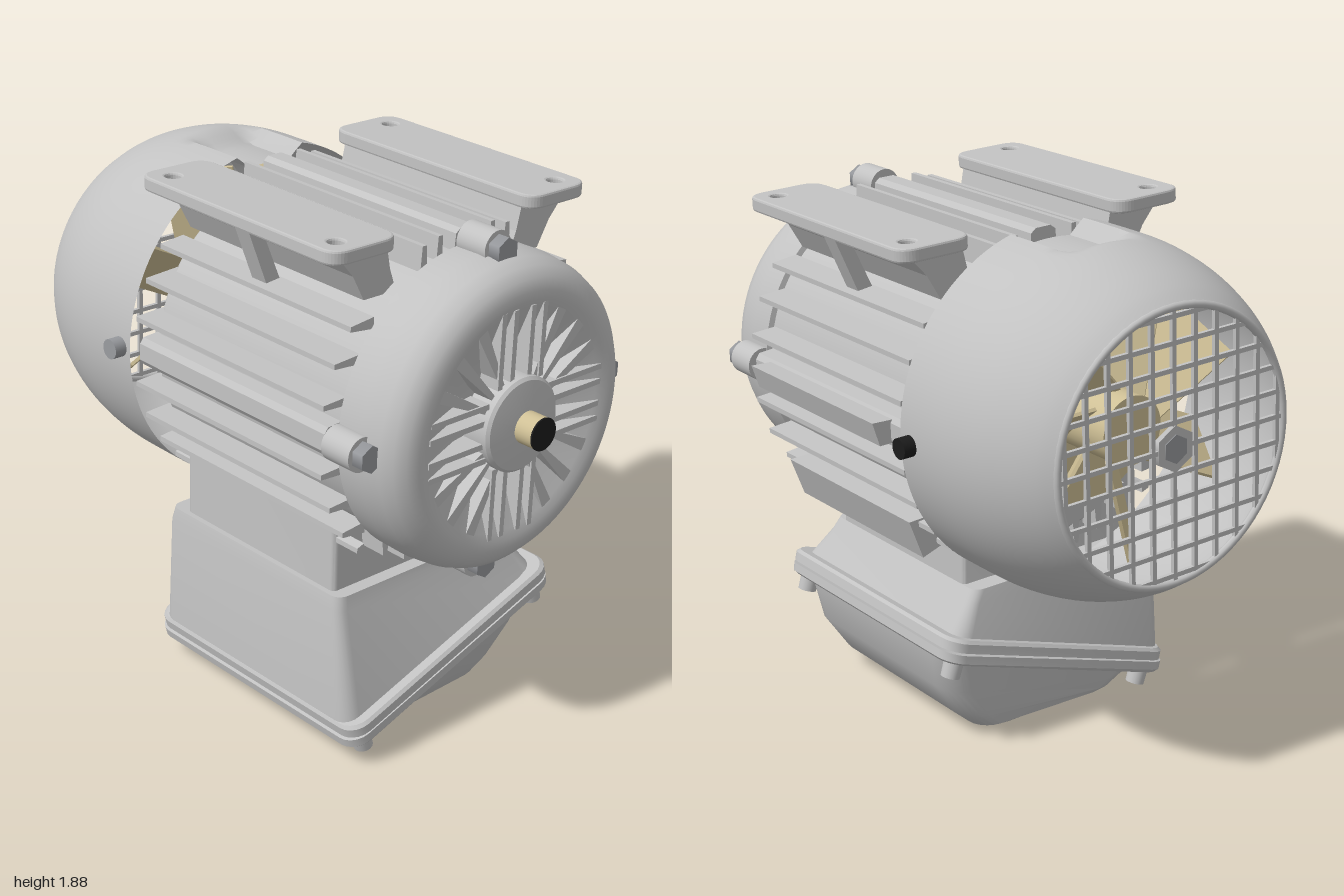
import * as THREE from 'three';
import { toCreasedNormals } from 'three/addons/utils/BufferGeometryUtils.js';

const mat = (name, color, side = THREE.FrontSide) => {
  const m = new THREE.MeshStandardMaterial({ color, side });
  m.name = name;
  return m;
};

export function createModel() {
  const paint = mat('greyPaint', 0xc2c2c2, THREE.DoubleSide);
  const steel = mat('boltSteel', 0x989a9e);
  const cream = mat('creamMetal', 0xcfc096, THREE.DoubleSide);
  const black = mat('black', 0x1c1c1c);

  const model = new THREE.Group();
  model.name = 'electricMotor';
  const motor = new THREE.Group(); // everything centred on the shaft axis
  motor.name = 'motor';
  motor.position.set(-0.005, 1.228, 0);
  motor.rotation.z = -0.045;
  model.add(motor);

  const add = (parent, name, geo, material = paint, pos = [0, 0, 0], rot = [0, 0, 0]) => {
    const m = new THREE.Mesh(geo, material);
    m.name = name;
    m.position.set(...pos);
    m.rotation.set(...rot);
    parent.add(m);
    return m;
  };
  const box = (x, y, z) => new THREE.BoxGeometry(x, y, z);
  // cylinder along z
  const rod = (r, len, seg = 32, r2 = r) => new THREE.CylinderGeometry(r, r2, len, seg).rotateX(Math.PI / 2);
  // turned part: [radius, z] pairs in order of rising z
  const turned = (pts, seg = 96) =>
    new THREE.LatheGeometry(pts.map(p => new THREE.Vector2(...p)), seg).rotateX(Math.PI / 2);
  // polygon in the front plane, stretched from z0 to z1
  const prism = (pts, z0, z1) => {
    const s = new THREE.Shape(pts.map(p => new THREE.Vector2(...p)));
    return new THREE.ExtrudeGeometry(s, { depth: z1 - z0, bevelEnabled: false }).translate(0, 0, z0);
  };

  // Finned stator body
  add(motor, 'statorBody', toCreasedNormals(turned(
    [[0, -0.34], [0.5, -0.34], [0.525, -0.31], [0.525, 0.62], [0, 0.62]]), 0.6));
  const fin = (name, angle, offset, tip) => {
    const g = prism([[0.4, offset - 0.02], [tip, offset - 0.009], [tip, offset + 0.009], [0.4, offset + 0.02]], -0.34, 0.61);
    add(motor, name, g, paint, [0, 0, 0], [0, 0, angle]);
  };
  for (const angle of [0, Math.PI])
    for (const o of [-0.44, -0.36, -0.25, -0.12, 0.12, 0.25, 0.36])
      fin('sideFin', angle, angle ? -o : o, Math.sqrt(0.615 ** 2 - o * o));
  for (const o of [-0.19, -0.12, 0.12, 0.19]) fin('topFin', Math.PI / 2, o, Math.sqrt(0.6 ** 2 - o * o));
  for (const o of [-0.3, -0.2, -0.1, 0.1, 0.2, 0.3]) fin('bottomFin', -Math.PI / 2, o, Math.sqrt(0.58 ** 2 - o * o));
  for (let i = 0; i < 4; i++)
    add(motor, 'boltRib', prism([[0.45, -0.06], [0.58, -0.05], [0.595, -0.03], [0.595, 0.03], [0.58, 0.05], [0.45, 0.06]],
      -0.33, 0.61), paint, [0, 0, 0], [0, 0, i * Math.PI / 2]);

  // Blank rating plates on the left flank
  add(motor, 'sidePlate', prism([[0.57, -0.04], [0.64, -0.04], [0.665, 0.045], [0.57, 0.04]], -0.26, 0.52));
  add(model, 'lowerPlate', prism([[0.515, 0.86], [0.46, 0.72], [0.38, 0.75], [0.4, 0.87]], -0.25, 0.52));

  // Front end bell with recessed ribbed face
  add(motor, 'endBell', toCreasedNormals(turned([
    [0.5, 0.61], [0.545, 0.62], [0.547, 0.72], [0.537, 0.8], [0.52, 0.845], [0.49, 0.875], [0.45, 0.89], [0.42, 0.888],
    [0.39, 0.875], [0.3, 0.84], [0.22, 0.81], [0.165, 0.8], [0.165, 0.9], [0.155, 0.91], [0.06, 0.925], [0, 0.925]]), 0.6));
  for (let i = 0; i < 4; i++) {
    const a = i * Math.PI / 2;
    for (const o of [-0.095, -0.04, 0.04, 0.095]) {
      const rib = new THREE.Group();
      rib.rotation.z = a;
      motor.add(rib);
      add(rib, 'straightRib', box(0.26, 0.02, 0.09), paint, [0.27, o, 0.84]);
    }
    for (const d of [0.48, 0.785, 1.09])
      add(motor, 'radialRib', prism([[0.15, -0.008], [0.4, -0.022], [0.4, 0.022], [0.15, 0.008]], 0.79, 0.878),
        paint, [0, 0, 0], [0, 0, a + d]);
    // bolt ears
    const c = Math.cos(a), s = Math.sin(a);
    add(motor, 'boltEar', rod(0.06, 0.125), paint, [0.56 * c, 0.56 * s, 0.685]);
    add(motor, 'earWeb', box(0.1, 0.11, 0.115), paint, [0.52 * c, 0.52 * s, 0.685], [0, 0, a]);
    add(motor, 'hexBolt', rod(0.048, 0.045, 6), steel, [0.56 * c, 0.56 * s, 0.77]);
  }

  // Shaft
  add(motor, 'shaft', rod(0.056, 0.1), cream, [0, 0, 0.945]);
  add(motor, 'shaftEnd', rod(0.057, 0.006), black, [0, 0, 0.997]);

  // Fan cowl with a dent pressed into its top edge
  const profile = new THREE.SplineCurve([[0.475, -0.995], [0.515, -0.94], [0.555, -0.86], [0.592, -0.75], [0.615, -0.62],
    [0.62, -0.5], [0.62, -0.355]].map(p => new THREE.Vector2(...p))).getPoints(30);
  const cowl = turned(profile.map(p => [p.x, p.y]), 128);
  const P = cowl.attributes.position;
  for (let i = 0; i < P.count; i++) {
    if (P.getY(i) < 0) continue;
    const w = (1 - THREE.MathUtils.smoothstep(Math.abs(P.getX(i)), 0.09, 0.15))
      * THREE.MathUtils.smoothstep(P.getZ(i), -0.68, -0.54);
    P.setY(i, P.getY(i) - 0.06 * w);
  }
  add(motor, 'fanCowl', toCreasedNormals(cowl, 0.8));
  add(motor, 'cowlRim', new THREE.TorusGeometry(0.468, 0.014, 8, 72), paint, [0, 0, -0.986]);

  // Square guard mesh
  for (let i = -5; i <= 5; i++) {
    const o = i * 0.088, len = 2 * Math.sqrt(0.468 ** 2 - o * o);
    add(motor, 'guardBarAcross', box(len, 0.016, 0.014), paint, [0, o, -0.985]);
    add(motor, 'guardBarUpright', box(0.016, len, 0.014), paint, [o, 0, -0.985]);
  }
  add(motor, 'guardBoss', rod(0.08, 0.02, 6), paint, [0, 0, -0.986]);
  add(motor, 'guardBossCentre', rod(0.05, 0.006, 6), steel, [0, 0, -0.996]);

  // Cowl screws
  for (const [name, a, m] of [['blackScrew', 0, black], ['sideScrew', Math.PI, steel], ['bottomScrew', -Math.PI / 2, paint]]) {
    const g = new THREE.CylinderGeometry(0.036, 0.036, 0.06, 20).rotateZ(Math.PI / 2);
    add(motor, name, g, m, [0.635 * Math.cos(a), 0.635 * Math.sin(a), -0.41], [0, 0, a]);
  }

  // Cooling fan
  add(motor, 'fanHub', rod(0.12, 0.36), cream, [0, 0, -0.6]);
  add(motor, 'fanDisc', rod(0.34, 0.02, 48), cream, [0, 0, -0.5]);
  for (let i = 0; i < 7; i++) {
    const blade = new THREE.Group();
    blade.name = 'fanBlade';
    blade.rotation.z = i * Math.PI * 2 / 7;
    motor.add(blade);
    add(blade, 'bladePaddle', box(0.4, 0.012, 0.26), cream, [0.3, 0, -0.62], [0.7, 0, 0]);
  }

  // Mounting feet
  const footPad = (s) => {
    const w = 0.135, z0 = -0.35, z1 = 0.605, r = 0.06, sh = new THREE.Shape();
    sh.moveTo(-w + r, z0).lineTo(w - r, z0).quadraticCurveTo(w, z0, w, z0 + r)
      .lineTo(w, z1 - r).quadraticCurveTo(w, z1, w - r, z1)
      .lineTo(-w + r, z1).quadraticCurveTo(-w, z1, -w, z1 - r)
      .lineTo(-w, z0 + r).quadraticCurveTo(-w, z0, -w + r, z0);
    for (const z of [-0.27, 0.53])
      sh.holes.push(new THREE.Path().absarc(s * 0.06, z, 0.036, 0, Math.PI * 2, true));
    return new THREE.ExtrudeGeometry(sh, {
      depth: 0.034, bevelSize: 0.008, bevelThickness: 0.008, bevelSegments: 2, curveSegments: 10,
    }).rotateX(Math.PI / 2);
  };
  for (const s of [-1, 1]) {
    add(motor, 'footPad', footPad(s), paint, [s * 0.44, 0.622, 0]);
    const leg = [[0.31, 0.59], [0.52, 0.59], [0.45, 0.51], [0.4, 0.42], [0.26, 0.42], [0.29, 0.5]];
    add(motor, 'footLeg', prism(leg.map(([x, y]) => [s * x, y]), -0.3, 0.56));
    add(motor, 'footStrut', prism([[0.5, 0.59], [0.55, 0.58], [0.46, 0.36], [0.4, 0.36]].map(([x, y]) => [s * x, y]), 0.1, 0.17));
  }

  // Lofted terminal box: each section is [left x, y, right x, y, back z, front z, corner radius], top to bottom
  const loft = (sections) => {
    const n = 24, pos = [], idx = [];
    for (const [xl, yl, xr, yr, z0, z1, r] of sections) {
      const hw = (xr - xl) / 2, hz = (z1 - z0) / 2;
      for (let j = 0; j < n; j++) {
        const q = Math.floor(j / 6), a = (q + (j % 6) / 5) * Math.PI / 2;
        const u = (q === 0 || q === 3 ? 1 : -1) * (hw - r) + r * Math.cos(a);
        const v = (q < 2 ? 1 : -1) * (hz - r) + r * Math.sin(a);
        pos.push((xl + xr) / 2 + u, (yl + yr) / 2 + (u / hw) * (yr - yl) / 2, (z0 + z1) / 2 + v);
      }
    }
    const last = (sections.length - 1) * n;
    for (let j = 0; j < n; j++) {
      const k = (j + 1) % n;
      for (let o = 0; o < last; o += n) idx.push(o + j, o + k, o + n + j, o + k, o + n + k, o + n + j);
      if (j > 0 && j < n - 1) idx.push(0, k, j, last, last + j, last + k);
    }
    const g = new THREE.BufferGeometry();
    g.setAttribute('position', new THREE.Float32BufferAttribute(pos, 3));
    g.setIndex(idx);
    return toCreasedNormals(g, 0.55);
  };
  add(model, 'boxNeck', loft([[-0.46, 0.9, 0.3, 0.86, -0.26, 0.51, 0.02], [-0.47, 0.6, 0.3, 0.57, -0.26, 0.51, 0.02]]));
  add(model, 'terminalBox', loft([[-0.49, 0.615, 0.3, 0.582, -0.33, 0.56, 0.04], [-0.5, 0.565, 0.33, 0.535, -0.34, 0.57, 0.04],
    [-0.525, 0.14, 0.4, 0.43, -0.36, 0.64, 0.06]]));
  add(model, 'boxFlange', loft([[-0.525, 0.16, 0.425, 0.452, -0.38, 0.67, 0.07], [-0.53, 0.148, 0.437, 0.444, -0.39, 0.68, 0.07],
    [-0.523, 0.116, 0.445, 0.412, -0.39, 0.68, 0.07]]));
  add(model, 'lidFlange', loft([[-0.53, 0.108, 0.448, 0.404, -0.39, 0.68, 0.07], [-0.523, 0.078, 0.453, 0.374, -0.39, 0.68, 0.07],
    [-0.51, 0.067, 0.445, 0.363, -0.38, 0.67, 0.07]]));
  add(model, 'boxLid', loft([[-0.47, 0.085, 0.42, 0.355, -0.32, 0.61, 0.09], [-0.41, 0.06, 0.395, 0.21, -0.31, 0.58, 0.09],
    [-0.37, 0.032, 0.31, 0.08, -0.3, 0.55, 0.09], [-0.34, 0.022, 0.24, 0.02, -0.285, 0.53, 0.08],
    [-0.31, 0.02, 0.17, 0, -0.26, 0.5, 0.07]]));

  // Lid screws, square to the tilted flange
  for (const [x, y] of [[-0.435, 0.068], [0.395, 0.322]])
    for (const z of [-0.325, 0.615])
      add(model, 'lidScrew', new THREE.CylinderGeometry(0.036, 0.034, 0.07, 16), paint, [x, y, z], [0, 0, 0.295]);

  return model;
}
